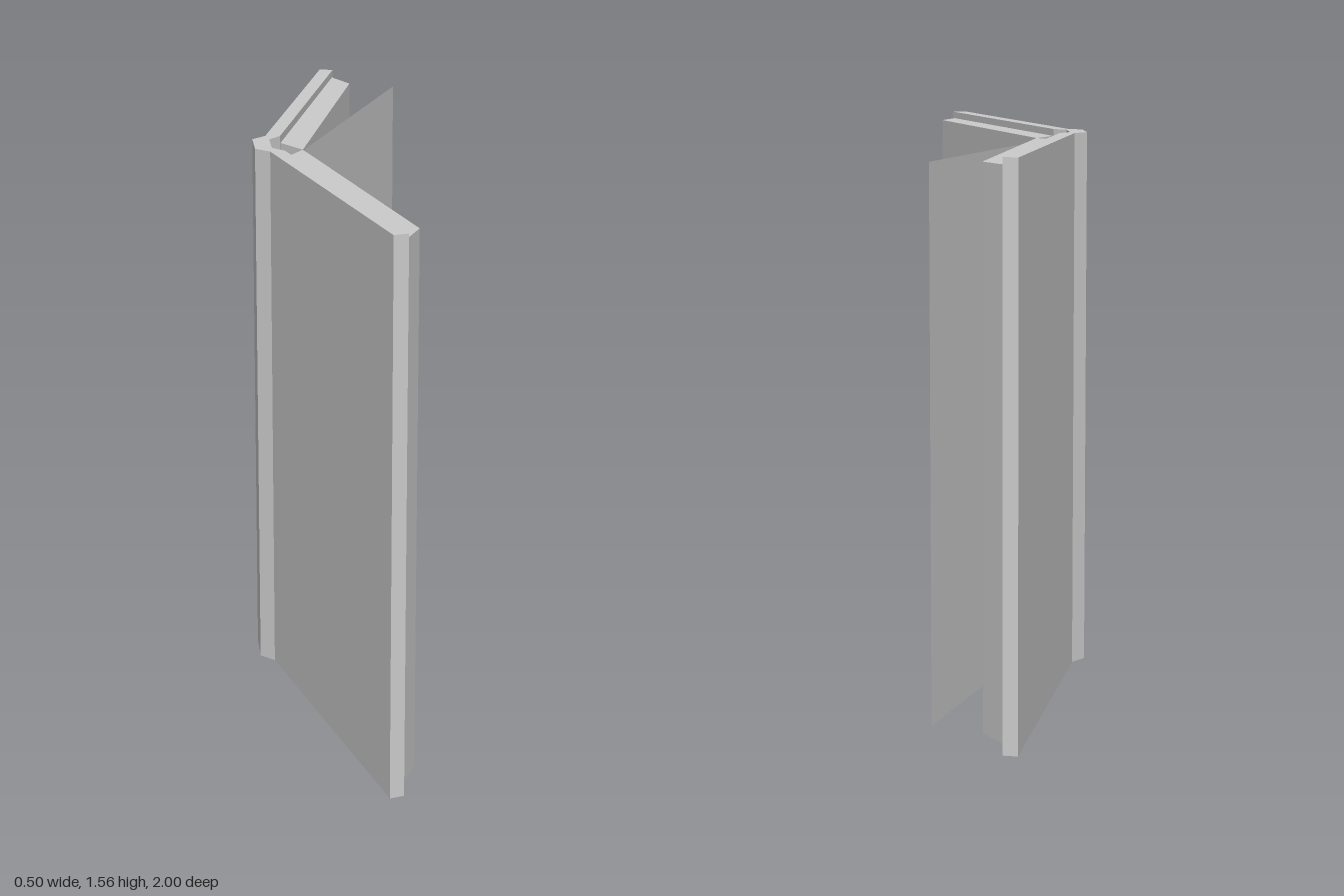
import * as THREE from 'three';

const material = new THREE.MeshStandardMaterial({ color: 0xcccccc, flatShading: true });
const sheetMaterial = new THREE.MeshStandardMaterial({ color: 0xcccccc, side: THREE.DoubleSide });

// Upright prism from a plan outline of [x, z] points
function prism(name, outline, bottom, top) {
  const shape = new THREE.Shape(outline.map(([x, z]) => new THREE.Vector2(x, -z)));
  const geometry = new THREE.ExtrudeGeometry(shape, { depth: top - bottom, bevelEnabled: false });
  geometry.rotateX(-Math.PI / 2).translate(0, bottom, 0);
  const mesh = new THREE.Mesh(geometry, material);
  mesh.name = name;
  return mesh;
}

export function createModel() {
  const book = new THREE.Group();
  book.name = 'openBook';

  // Cover: two boards joined by a bevelled spine, mirrored about z = 0
  const half = [
    [-0.25, 0.058], [-0.21, 0.096], [0.03, 1], [0.07, 0.988], [-0.168, 0.09], [-0.202, 0.052],
  ];
  const mirrored = half.map(([x, z]) => [x, -z]).reverse();
  book.add(prism('cover', [...half, ...mirrored], 0, 1.56));

  // Page blocks, meeting at the gutter and inset from the cover
  for (const [name, s] of [['leftPages', -1], ['rightPages', 1]]) {
    const outline = [[-0.11, 0], [0.112, 0.87], [0.066, 0.968], [-0.167, 0.088]];
    book.add(prism(name, outline.map(([x, z]) => [x, s * z]), 0.025, 1.54));
  }

  // Loose leaf lifting away from one page block
  const leaf = new THREE.PlaneGeometry(1, 1);
  const corners = [[-0.105, 1.532, -0.03], [0.246, 1.537, -0.828], [-0.105, 0.033, -0.03], [0.246, 0.036, -0.828]];
  corners.forEach((c, i) => leaf.attributes.position.setXYZ(i, ...c));
  leaf.computeVertexNormals();
  const sheet = new THREE.Mesh(leaf, sheetMaterial);
  sheet.name = 'looseLeaf';
  book.add(sheet);

  return book;
}
